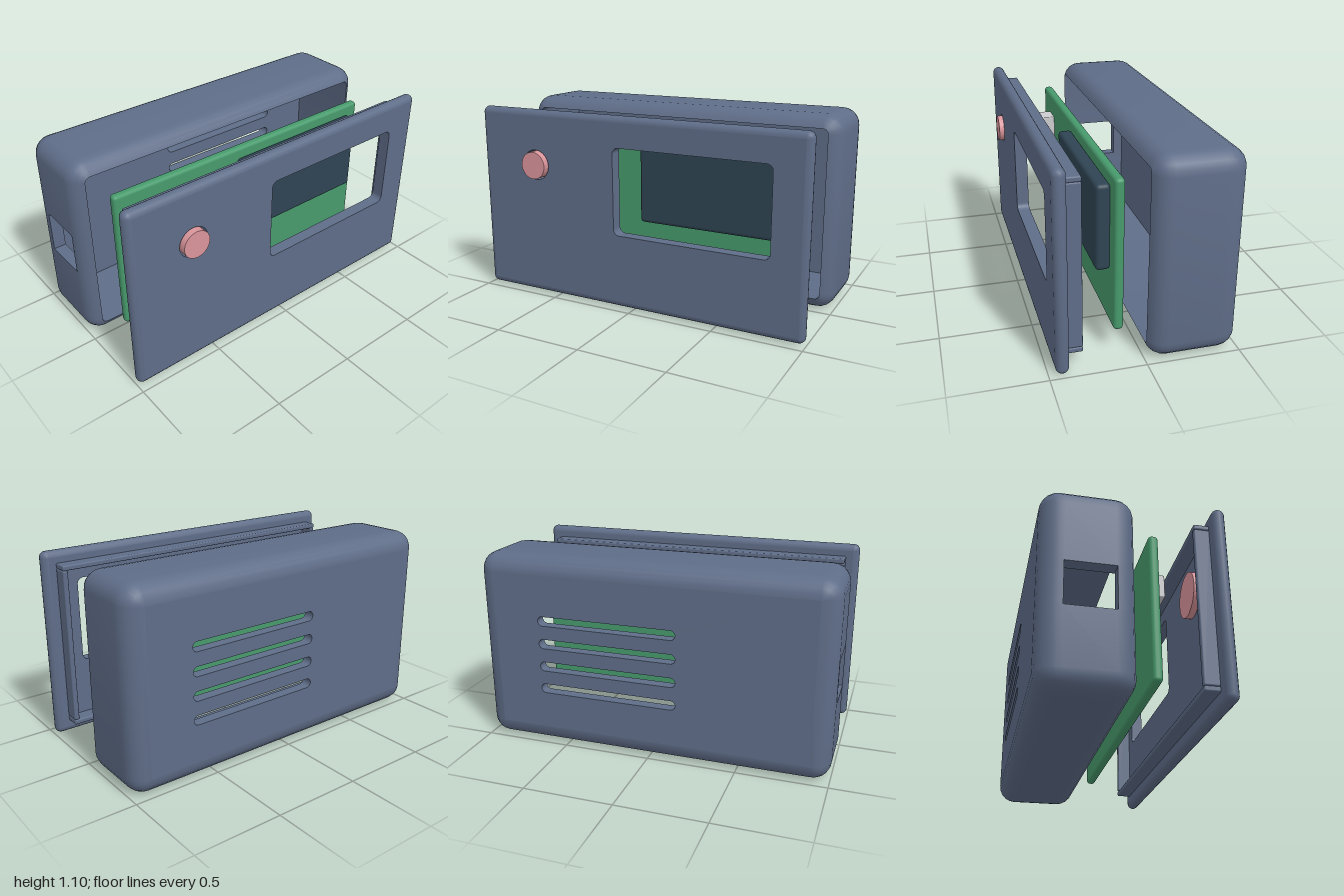
import * as THREE from 'three';
import { toCreasedNormals } from 'three/addons/utils/BufferGeometryUtils.js';
import { RoundedBoxGeometry } from 'three/addons/geometries/RoundedBoxGeometry.js';

const MID = 0.55; // height of the enclosure's centre line

function material(name, color) {
  const m = new THREE.MeshStandardMaterial({ color });
  m.name = name;
  return m;
}

// Rounded rectangle outline, as a Shape or as a hole Path
function roundedRect(Type, cx, cy, w, h, r) {
  const p = new Type();
  const x = w / 2 - r, y = h / 2 - r;
  if (r === 0) {
    p.moveTo(cx - x, cy - y);
    p.lineTo(cx + x, cy - y);
    p.lineTo(cx + x, cy + y);
    p.lineTo(cx - x, cy + y);
    p.closePath();
    return p;
  }
  p.absarc(cx + x, cy + y, r, 0, Math.PI / 2);
  p.absarc(cx - x, cy + y, r, Math.PI / 2, Math.PI);
  p.absarc(cx - x, cy - y, r, Math.PI, Math.PI * 1.5);
  p.absarc(cx + x, cy - y, r, Math.PI * 1.5, Math.PI * 2);
  p.closePath();
  return p;
}

// Flat plate with holes, from z0 to z1
function plate(w, h, z0, z1, holes) {
  const shape = roundedRect(THREE.Shape, 0, MID, w, h, 0);
  shape.holes.push(...holes);
  const g = new THREE.ExtrudeGeometry(shape, { depth: z1 - z0, bevelEnabled: false, curveSegments: 10 });
  g.translate(0, 0, z0);
  return g;
}

// Skin through rounded-rectangle rings; each level is [inset, z].
// "port" leaves a rectangular opening in the -x side.
function loft(hx, hy, r, levels, port) {
  const n = 5, pos = [], index = [];
  let count = 0;
  for (const [inset, z] of levels) {
    const cr = Math.max(0, r - inset), ring = [];
    [[1, 1], [-1, 1], [-1, -1], [1, -1]].forEach(([sx, sy], q) => {
      for (let k = 0; k <= n; k++) {
        const a = (q + k / n) * Math.PI / 2;
        ring.push([sx * (hx - inset - cr) + cr * Math.cos(a), sy * (hy - inset - cr) + cr * Math.sin(a)]);
      }
      if (q === 1 && port) ring.push([inset - hx, port.y1 - MID], [inset - hx, port.y0 - MID]);
    });
    count = ring.length;
    ring.forEach(([x, y]) => pos.push(x, y + MID, z));
  }
  for (let j = 0; j < levels.length - 1; j++) {
    const za = levels[j][1], zb = levels[j + 1][1];
    const inPort = port && Math.min(za, zb) >= port.z0 && Math.max(za, zb) <= port.z1;
    for (let i = 0; i < count; i++) {
      if (inPort && i === 2 * (n + 1)) continue;
      const a = j * count + i, b = j * count + (i + 1) % count;
      index.push(a, b, b + count, a, b + count, a + count);
    }
  }
  const g = new THREE.BufferGeometry();
  g.setAttribute('position', new THREE.Float32BufferAttribute(pos, 3));
  g.setIndex(index);
  return toCreasedNormals(g, 0.7);
}

export function createModel() {
  const model = new THREE.Group();
  const casing = material('slate blue casing', 0x5f6d88);
  const green = material('circuit green', 0x479a6c);
  const dark = material('dark screen', 0x2f4453);
  const pink = material('pink button', 0xd9959b);
  const grey = material('light grey connector', 0xcccccf);

  const add = (parent, name, geometry, mat) => {
    const m = new THREE.Mesh(geometry, mat);
    m.name = name;
    parent.add(m);
    return m;
  };
  const group = (name) => {
    const g = new THREE.Group();
    g.name = name;
    model.add(g);
    return g;
  };
  // Box given by its limits
  const box = (parent, name, [x0, x1], [y0, y1], [z0, z1], r, mat) => {
    const w = x1 - x0, h = y1 - y0, d = z1 - z0;
    const g = r ? new RoundedBoxGeometry(w, h, d, 3, r) : new THREE.BoxGeometry(w, h, d);
    return add(parent, name, g, mat).position.set((x0 + x1) / 2, (y0 + y1) / 2, (z0 + z1) / 2);
  };

  // Back shell: rounded outside, over the front lip, then the cavity
  const shell = group('backShell');
  const R = 0.1, wall = 0.07, zBack = -0.393, zFront = -0.11, zFloor = -0.43;
  const port = { y0: 0.42, y1: 0.66, z0: -0.37, z1: zFront };
  const levels = [];
  for (let k = 0; k <= 5; k++) {
    const a = k / 5 * Math.PI / 2;
    levels.push([R * (1 - Math.sin(a)), zBack - R * Math.cos(a)]);
  }
  levels.push([0, port.z0]);
  const lipAngle = Math.acos((R - wall) / R);
  for (let k = 0; k <= 4; k++) {
    const a = k / 4 * lipAngle;
    levels.push([R * (1 - Math.cos(a)), zFront + R * Math.sin(a)]);
  }
  levels.push([wall, zFront], [wall, port.z0], [wall, zFloor], [R, zFloor]);
  add(shell, 'shellWalls', loft(1, MID, R, levels, port), casing);

  // Vent slots in the back wall
  const slots = [0.34, 0.473, 0.607, 0.74].map((y) => roundedRect(THREE.Path, 0.24, y, 0.8, 0.054, 0.0269));
  add(shell, 'ventedBackWall', plate(2 - 2 * R, 2 * (MID - R), zBack - R, zFloor, slots), casing);

  // Inner faces of the side port
  const px = [-1, -1 + wall], t = 0.004;
  for (const [y, s] of [[port.y0, -t], [port.y1, t]]) {
    box(shell, 'portLedge', px, [Math.min(y, y + s), Math.max(y, y + s)], [port.z0, port.z1], 0, casing);
  }
  for (const [z, s] of [[port.z0, -t], [port.z1, t]]) {
    box(shell, 'portSide', px, [port.y0, port.y1], [Math.min(z, z + s), Math.max(z, z + s)], 0, casing);
  }

  // Circuit board with screen and connector
  const board = group('circuitBoard');
  box(board, 'board', [-0.863, 0.863], [0.135, 0.965], [0.086, 0.138], 0.02, green);
  box(board, 'screen', [-0.085, 0.78], [0.443, 0.908], [0.134, 0.212], 0.022, dark);
  box(board, 'connector', [-0.69, -0.557], [0.708, 0.842], [0.134, 0.216], 0.006, grey);

  // Front panel: pierced plate with a half-round rim
  const panel = group('frontPanel');
  const hx = 0.995, hy = 0.542, rim = 0.035, zMid = 0.43;
  const buttonX = -0.62, buttonY = 0.777;
  const buttonHole = new THREE.Path();
  buttonHole.absarc(buttonX, buttonY, 0.087, 0, Math.PI * 2);
  const windowHole = roundedRect(THREE.Path, 0.347, 0.675, 0.91, 0.49, 0.035);
  add(panel, 'panelPlate',
    plate(2 * (hx - rim), 2 * (hy - rim), zMid - rim, zMid + rim, [windowHole, buttonHole]), casing);
  const rimLevels = [];
  for (let k = 0; k <= 8; k++) {
    const a = (k / 8 - 0.5) * Math.PI;
    rimLevels.push([rim * (1 - Math.cos(a)), zMid + rim * Math.sin(a)]);
  }
  add(panel, 'panelRim', loft(hx, hy, rim, rimLevels), casing);

  // Locating lip behind the panel
  const lipZ = [0.313, 0.4];
  box(panel, 'lipTop', [-0.92, 0.92], [0.995, 1.024], lipZ, 0.008, casing);
  box(panel, 'lipBottom', [-0.92, 0.92], [0.08, 0.109], lipZ, 0.008, casing);
  for (const s of [-1, 1]) {
    box(panel, 'lipSide', [s * 0.905 - 0.015, s * 0.905 + 0.015], [0.109, 0.995], lipZ, 0.008, casing);
  }

  // Push button with a retaining flange behind the panel
  const button = group('pushButton');
  const disc = (name, r, z0, z1) => {
    const g = new THREE.CylinderGeometry(r, r, z1 - z0, 40);
    g.rotateX(Math.PI / 2);
    add(button, name, g, pink).position.set(buttonX, buttonY, (z0 + z1) / 2);
  };
  disc('buttonCap', 0.078, 0.38, 0.494);
  disc('buttonFlange', 0.127, 0.358, 0.394);

  return model;
}
